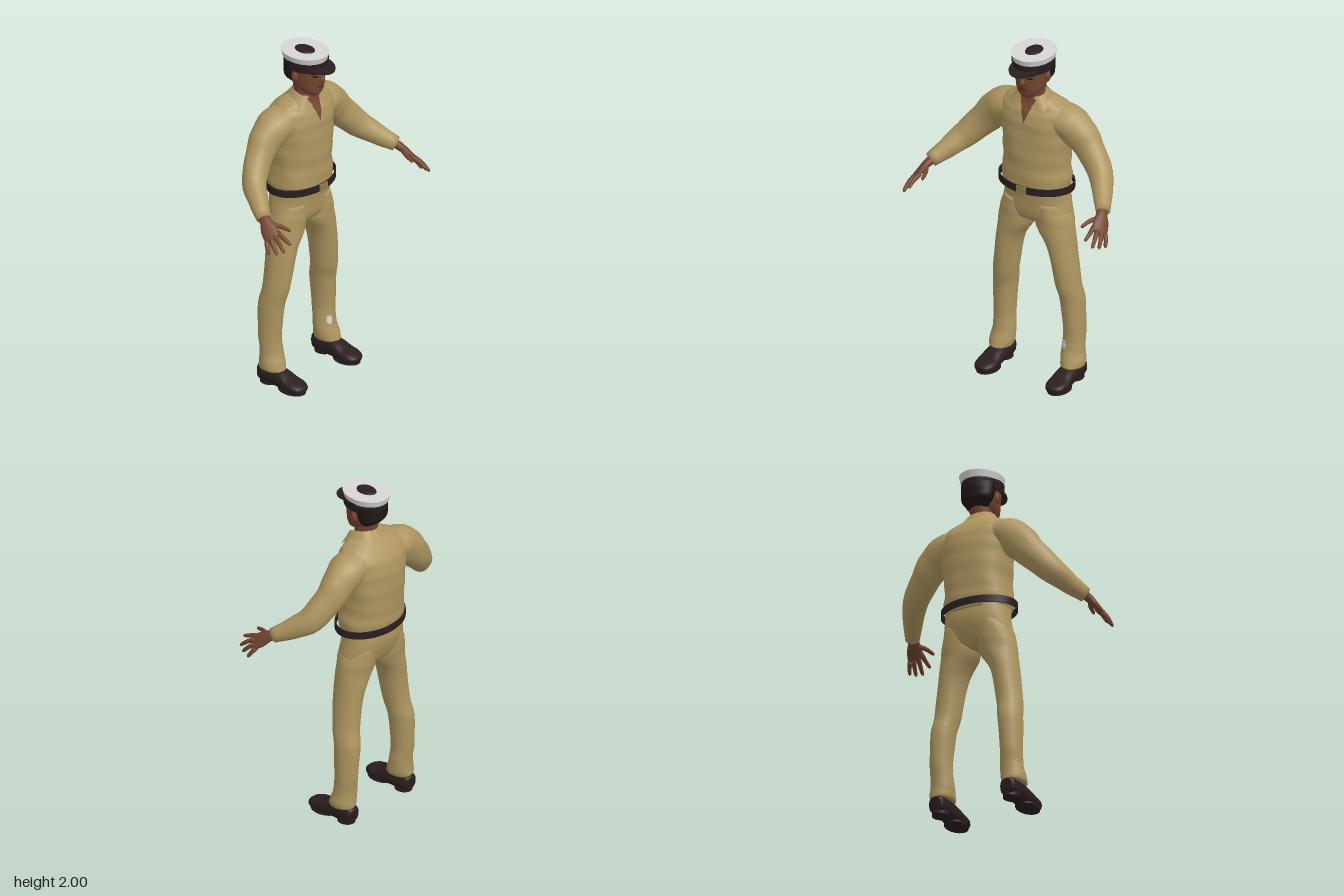
import * as THREE from 'three';

const V = (x, y, z) => new THREE.Vector3(x, y, z);
const mat = (name, color, side = THREE.FrontSide) => {
  const m = new THREE.MeshStandardMaterial({ color, side });
  m.name = name;
  return m;
};

// Skin over elliptical cross-sections. Each row: centre x, y, z, radius along ref, radius across it.
function loft(rows, { ref = V(1, 0, 0), flat = false, n = 24, sub = 4, pow = 2, wrinkle = 0 } = {}) {
  const path = new THREE.CatmullRomCurve3(rows.map(r => V(r[0], r[1], r[2])), false, 'catmullrom');
  const size = new THREE.CatmullRomCurve3(rows.map(r => V(r[3], r[4], 0)), false, 'catmullrom');
  const steps = (rows.length - 1) * sub, pos = [], idx = [];
  const bend = v => Math.sign(v) * Math.abs(v) ** (2 / pow);
  for (let i = 0; i <= steps; i++) {
    const t = i / steps, c = path.getPoint(t), s = size.getPoint(t);
    const T = flat ? V(0, Math.sign(rows[1][1] - rows[0][1]), 0) : path.getTangent(t);
    const u = ref.clone().addScaledVector(T, -ref.dot(T)).normalize();
    const w = T.clone().cross(u);
    for (let j = 0; j < n; j++) {
      const a = j / n * Math.PI * 2;
      const k = 1 + wrinkle * Math.sin(a * 3 + i * 0.9) * Math.sin(a * 2 - i * 0.5 + 1);
      const p = c.clone().addScaledVector(u, s.x * k * bend(Math.cos(a))).addScaledVector(w, s.y * k * bend(Math.sin(a)));
      pos.push(p.x, p.y, p.z);
    }
  }
  for (let i = 0; i < steps; i++) for (let j = 0; j < n; j++) {
    const a = i * n + j, b = i * n + (j + 1) % n;
    idx.push(a, b, b + n, a, b + n, a + n);
  }
  const first = path.getPoint(0), last = path.getPoint(1), e = steps * n, k = pos.length / 3;
  pos.push(first.x, first.y, first.z, last.x, last.y, last.z);
  for (let j = 0; j < n; j++) {
    const j2 = (j + 1) % n;
    idx.push(k, j2, j, k + 1, e + j, e + j2);
  }
  const g = new THREE.BufferGeometry();
  g.setAttribute('position', new THREE.Float32BufferAttribute(pos, 3));
  g.setIndex(idx);
  g.computeVertexNormals();
  return g;
}

// Lay a flat shape in the xy plane onto the front of a mesh.
function drape(geo, target, lift = 0.004) {
  const p = geo.attributes.position, ray = new THREE.Raycaster();
  let z = 0;
  for (let i = 0; i < p.count; i++) {
    ray.set(V(p.getX(i), p.getY(i), 1), V(0, 0, -1));
    const hit = ray.intersectObject(target)[0];
    if (hit) z = hit.point.z;
    p.setZ(i, z + lift);
  }
  geo.computeVertexNormals();
  return geo;
}

// Half collar: a strip between a top edge and a bottom edge, from nape to tip.
function collarGeometry(s) {
  const edge = pts => new THREE.CatmullRomCurve3(pts.map(p => V(p[0] * s, p[1], p[2])));
  const top = edge([[0, 1.765, -0.155], [0.055, 1.765, -0.135], [0.078, 1.76, -0.09], [0.068, 1.738, -0.035], [0.035, 1.685, -0.005]]);
  const low = edge([[0, 1.715, -0.19], [0.075, 1.715, -0.17], [0.115, 1.705, -0.1], [0.112, 1.68, -0.025], [0.085, 1.635, 0.012]]);
  const g = new THREE.PlaneGeometry(1, 1, 20, 3), p = g.attributes.position;
  for (let i = 0; i < p.count; i++) {
    const t = p.getX(i) + 0.5, q = low.getPoint(t).lerp(top.getPoint(t), p.getY(i) + 0.5);
    p.setXYZ(i, q.x, q.y, q.z);
  }
  g.computeVertexNormals();
  return g;
}

export function createModel() {
  const khaki = mat('khaki cloth', 0xae9660), skin = mat('skin', 0x74462f);
  const collarCloth = khaki.clone();
  collarCloth.side = THREE.DoubleSide;
  const dark = mat('dark leather', 0x2b1e1f), white = mat('white cloth', 0xd6d6d6);
  const hairMat = mat('hair', 0x1f1614), brass = mat('buckle', 0x927e48), lip = mat('lips', 0x5a2c24);
  const model = new THREE.Group();
  const add = (name, geo, m, parent = model) => {
    const mesh = new THREE.Mesh(geo, m);
    mesh.name = name;
    parent.add(mesh);
    return mesh;
  };
  const disc = (rx, rz, rBottom, h, y, z) =>
    new THREE.CylinderGeometry(1, rBottom, h, 48).scale(rx, 1, rz).translate(0, y, z);
  const spot = (rx, ry, x, y) => new THREE.CircleGeometry(1, 16).scale(rx, ry, 1).translate(x, y, 0);

  // Shirt body
  const shirt = add('shirt', loft([
    [0, 1.15, -0.125, 0.185, 0.135], [0, 1.22, -0.125, 0.2, 0.146], [0, 1.3, -0.128, 0.19, 0.147],
    [0, 1.4, -0.13, 0.195, 0.152], [0, 1.5, -0.132, 0.205, 0.151], [0, 1.58, -0.13, 0.212, 0.146],
    [0, 1.64, -0.126, 0.205, 0.128], [0, 1.68, -0.12, 0.18, 0.1], [0, 1.71, -0.11, 0.13, 0.08],
    [0, 1.735, -0.1, 0.08, 0.065]], { flat: true, n: 40, pow: 2.3, wrinkle: 0.02 }), khaki);

  // Open neck and collar
  const neckline = new THREE.PlaneGeometry(1, 1, 8, 12), np = neckline.attributes.position;
  for (let i = 0; i < np.count; i++) {
    const t = np.getY(i) + 0.5;
    np.setXY(i, np.getX(i) * 0.1 * t, 1.585 + 0.138 * t);
  }
  add('openNeck', drape(neckline, shirt), skin);
  add('neck', loft([[0, 1.62, -0.085, 0.06, 0.06], [0, 1.72, -0.088, 0.062, 0.062], [0, 1.83, -0.1, 0.065, 0.068]], { flat: true }), skin);

  // Trousers and belt
  add('hips', loft([
    [0, 1.2, -0.125, 0.185, 0.132], [0, 1.1, -0.135, 0.193, 0.125], [0, 1.02, -0.128, 0.208, 0.11],
    [0, 0.97, -0.125, 0.2, 0.09], [0, 0.94, -0.125, 0.16, 0.05]], { flat: true, n: 36, pow: 2.3 }), khaki);
  const band = [[1, 1.163], [1, 1.205], [0.965, 1.205], [0.965, 1.163], [1, 1.163]];
  for (let i = 0; i < 4; i++) {
    add('belt', new THREE.LatheGeometry([band[i], band[i + 1]].map(p => new THREE.Vector2(...p)), 48)
      .scale(0.225, 1, 0.16).translate(0, 0, -0.12), dark);
  }
  add('buckle', new THREE.BoxGeometry(0.06, 0.042, 0.009).translate(0, 1.184, 0.041), brass);

  // Head and face
  const head = add('head', loft([
    [0, 1.74, -0.03, 0.03, 0.03], [0, 1.757, -0.04, 0.056, 0.053], [0, 1.79, -0.06, 0.077, 0.08],
    [0, 1.83, -0.08, 0.087, 0.105], [0, 1.88, -0.085, 0.093, 0.112], [0, 1.95, -0.085, 0.098, 0.115]],
    { flat: true, n: 32, pow: 2.15 }), skin);
  add('nose', loft([
    [0, 1.895, 0.018, 0.008, 0.008], [0, 1.865, 0.024, 0.011, 0.015], [0, 1.84, 0.027, 0.018, 0.021],
    [0, 1.828, 0.022, 0.012, 0.012]], { flat: true, n: 14 }), skin);
  add('mouth', drape(spot(0.028, 0.007, 0, 1.8), head), lip);
  add('hair', loft([
    [0, 1.795, -0.125, 0.055, 0.03], [0, 1.835, -0.14, 0.09, 0.06], [0, 1.88, -0.135, 0.1, 0.07],
    [0, 1.94, -0.12, 0.105, 0.088]], { flat: true, n: 28 }), hairMat);

  // Peaked cap
  const cap = new THREE.Group();
  cap.name = 'cap';
  model.add(cap);
  add('capBand', disc(0.112, 0.133, 0.95, 0.055, 1.926, -0.083), dark, cap);
  add('capCrown', disc(0.118, 0.143, 0.93, 0.037, 1.969, -0.093), white, cap);
  add('capCentre', new THREE.SphereGeometry(1, 20, 10).scale(0.045, 0.013, 0.063).translate(0, 1.987, -0.093), dark, cap);
  add('visor', new THREE.CylinderGeometry(1, 1, 0.008, 36).scale(0.083, 1, 0.105).rotateX(0.14).translate(0, 1.925, 0), dark, cap);

  for (const s of [1, -1]) {
    const side = new THREE.Group();
    side.name = s > 0 ? 'leftSide' : 'rightSide';
    model.add(side);
    const limb = (name, rows, m, opts = {}) => add(name, loft(rows.map(r => [r[0] * s, ...r.slice(1)]), opts), m, side);

    add('collar', collarGeometry(s), collarCloth, side);
    add('eye', drape(spot(0.015, 0.006, 0.042 * s, 1.872), head), hairMat, side);
    add('eyebrow', drape(spot(0.022, 0.005, 0.044 * s, 1.89), head), hairMat, side);
    add('ear', new THREE.SphereGeometry(1, 14, 10).scale(0.012, 0.03, 0.02).translate(0.094 * s, 1.855, -0.085), skin, side);

    // Sleeve
    limb('sleeve', [
      [0.1, 1.6, -0.13, 0.08, 0.1], [0.19, 1.585, -0.135, 0.098, 0.105], [0.265, 1.53, -0.138, 0.1, 0.09],
      [0.335, 1.455, -0.13, 0.087, 0.076], [0.43, 1.35, -0.085, 0.075, 0.068], [0.495, 1.285, 0, 0.058, 0.055],
      [0.55, 1.232, 0.085, 0.042, 0.04]], khaki, { ref: V(0, 1, 0), wrinkle: 0.03 });

    // Hand
    limb('palm', [
      [0.54, 1.24, 0.07, 0.03, 0.026], [0.556, 1.222, 0.105, 0.033, 0.024], [0.572, 1.195, 0.14, 0.046, 0.02],
      [0.588, 1.167, 0.178, 0.047, 0.015], [0.593, 1.158, 0.192, 0.036, 0.009]], skin,
      { ref: V(0.055 * s, -0.045, -0.04), n: 18 });
    const fingers = [
      [[0.558, 1.187, 0.19], [0.564, 1.17, 0.24], [0.563, 1.15, 0.283]],
      [[0.58, 1.172, 0.19], [0.594, 1.148, 0.235], [0.602, 1.115, 0.273]],
      [[0.598, 1.157, 0.178], [0.614, 1.13, 0.21], [0.622, 1.1, 0.238]],
      [[0.61, 1.143, 0.16], [0.626, 1.117, 0.176], [0.633, 1.09, 0.193]],
      [[0.555, 1.212, 0.125], [0.524, 1.207, 0.178], [0.51, 1.195, 0.232]]];
    fingers.forEach((f, i) => limb(i < 4 ? 'finger' : 'thumb',
      [...f.map((p, k) => [...p, [0.015, 0.012, 0.009][k], [0.015, 0.012, 0.009][k]]),
        [f[2][0], f[2][1] - 0.003, f[2][2] + 0.005, 0.003, 0.003]], skin, { ref: V(0, 1, 0), n: 10 }));

    // Trouser leg
    const leg = limb('trouserLeg', [
      [0.1, 1.08, -0.13, 0.085, 0.11], [0.11, 1, -0.127, 0.106, 0.108], [0.122, 0.92, -0.122, 0.108, 0.1],
      [0.165, 0.8, -0.12, 0.078, 0.092], [0.196, 0.6, -0.125, 0.071, 0.08], [0.213, 0.48, -0.148, 0.067, 0.078],
      [0.223, 0.3, -0.152, 0.061, 0.068], [0.22, 0.2, -0.143, 0.065, 0.064], [0.226, 0.13, -0.132, 0.07, 0.075],
      [0.228, 0.098, -0.128, 0.064, 0.08]], khaki, { flat: true, n: 28, wrinkle: 0.02 });
    if (s > 0) add('sockPatch', drape(spot(0.016, 0.026, 0.195, 0.228), leg), white, side);

    // Shoe with sole and heel
    limb('shoe', [
      [0.226, 0.055, -0.213, 0.025, 0.03], [0.226, 0.056, -0.2, 0.045, 0.048], [0.226, 0.057, -0.13, 0.052, 0.053],
      [0.226, 0.053, -0.06, 0.055, 0.049], [0.227, 0.04, 0, 0.062, 0.035], [0.227, 0.035, 0.05, 0.06, 0.029],
      [0.226, 0.03, 0.085, 0.043, 0.021], [0.226, 0.028, 0.098, 0.018, 0.012]], dark, { pow: 2.6 });
    add('sole', new THREE.CylinderGeometry(1, 1, 0.014, 28).scale(0.06, 1, 0.085).translate(0.227 * s, 0.009, 0.01), dark, side);
    add('heel', new THREE.CylinderGeometry(1, 1, 0.026, 24).scale(0.046, 1, 0.052).translate(0.226 * s, 0.013, -0.155), dark, side);
  }
  return model;
}
